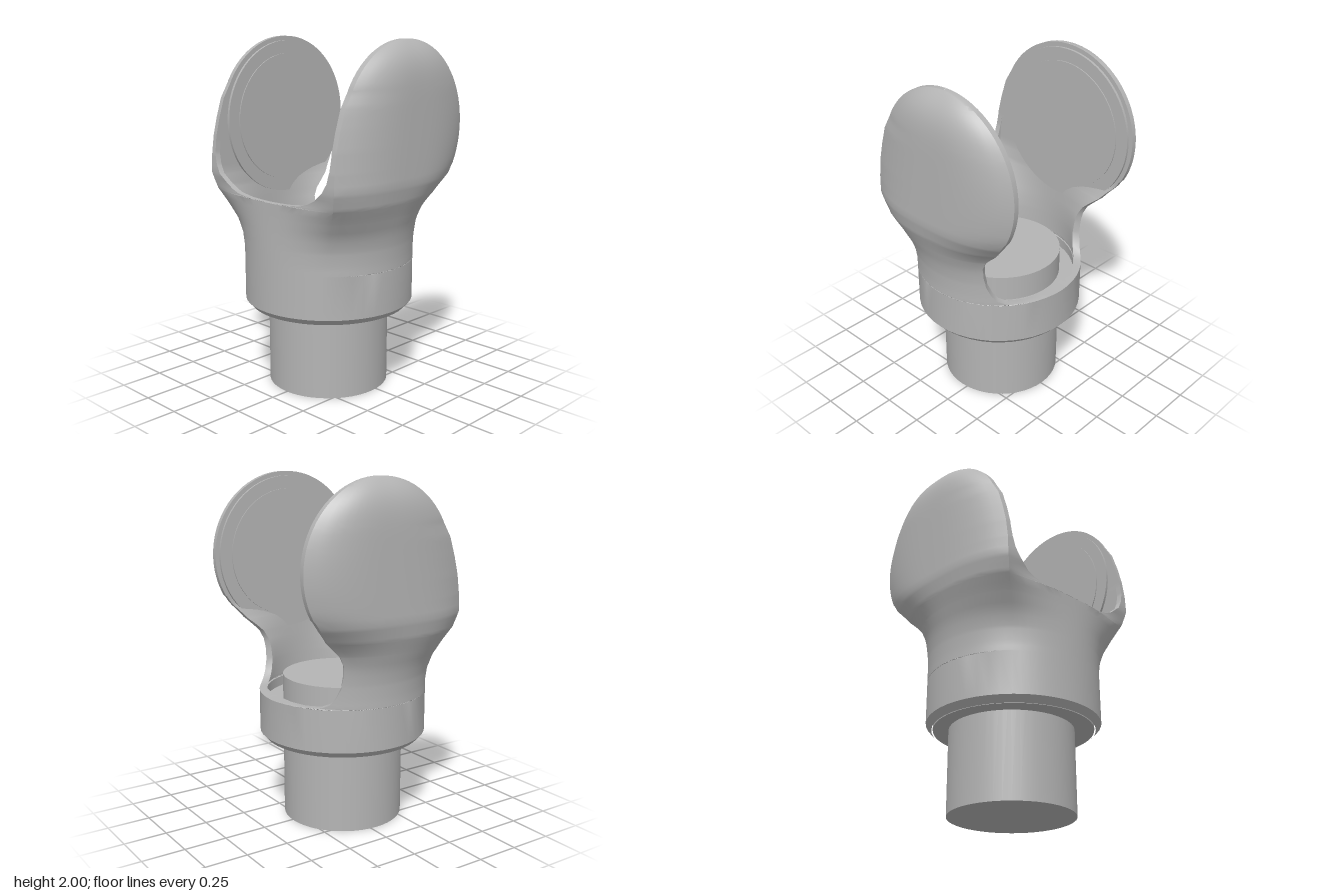
import * as THREE from 'three';
import { mergeGeometries, toCreasedNormals } from 'three/addons/utils/BufferGeometryUtils.js';

const ZC = 0.045, DISC_Y = 1.52, DISC_Z = -0.05, DISC_R = 0.48;
const mix = THREE.MathUtils.lerp;

// Height-keyed profiles: [y, value]
const BACK = [[0.48, -0.44], [0.757, -0.44], [0.758, -0.436], [0.759, -0.425], [0.76, -0.4], [0.762, -0.36],
  [0.766, -0.32], [0.785, -0.285], [0.82, -0.26], [0.88, -0.238], [0.95, -0.233], [1.01, -0.24], [1.06, -0.265],
  [1.1, -0.305], [1.15, -0.36], [1.22, -0.42], [1.28, -0.461]];
const FRONT = [[0.48, 0.495], [1.2, 0.505], [1.34, 0.5], [1.45, 0.485], [1.55, 0.46], [1.66, 0.425], [1.75, 0.37]];
const OPENING = [[1.138, 0], [1.139, 0.07], [1.141, 0.15], [1.15, 0.25], [1.165, 0.3], [1.19, 0.35], [1.24, 0.41],
  [1.29, 0.44], [1.35, 0.456], [1.42, 0.46]];
const BLEND = [[0.82, 0], [0.9, 0.06], [0.98, 0.22], [1.07, 0.52], [1.15, 0.82], [1.24, 1]];
const RADIUS = [[0.48, 0.455], [0.515, 0.487]];

function at(table, y) {
  if (y <= table[0][0]) return table[0][1];
  for (let i = 1; i < table.length; i++) {
    const [y0, v0] = table[i - 1], [y1, v1] = table[i];
    if (y <= y1) return mix(v0, v1, (y - y0) / (y1 - y0));
  }
  return table[table.length - 1][1];
}

// One closed horizontal section of the left half: outer skin back to front, then inner skin back again
function section(y) {
  const d = Math.min(1, Math.abs(y - DISC_Y) / DISC_R);
  const chord = DISC_R * Math.sqrt(1 - d * d);
  const zb = y > 1.28 ? DISC_Z - chord : at(BACK, y);
  const zf = y > 1.75 ? DISC_Z + chord : at(FRONT, y);
  const xe = at(OPENING, y), w = at(BLEND, y), r = at(RADIUS, y);
  const wide = y > DISC_Y ? 0.1 * (1 - d ** 6) : 0.1;
  const wall = Math.min(0.03, (zf - zb) * 0.2);
  const cosBack = (Math.max(zb, y > 1 ? -0.36 : -1) - ZC) / 0.485;
  const aBack = Math.acos(Math.max(-1, cosBack));

  const skin = (inner) => {
    const rad = inner ? 0.445 : r, pts = [];
    const add = (a, x, z) => {
      let cz = ZC + rad * Math.cos(a);
      if (inner) cz = Math.max(cz, -0.37);
      pts.push([mix(rad * Math.sin(a), x, w), y, mix(cz, z, w)]);
    };
    const corner = inner ? 0.46 : 0.49, zEnd = inner ? zf - wall : zf;
    const N = 18, M = 9;
    for (let i = 0; i <= N; i++) {
      const s = i / N;
      const bulge = inner ? 0 : wide * (1 - Math.abs(2 * s - 1) ** 3);
      add(mix(aBack, Math.PI / 4, s), corner + bulge, mix(zb, zEnd, s));
    }
    const aEnd = Math.min(Math.asin(Math.min(1, xe / rad)), Math.PI / 4);
    for (let i = 1; i <= M; i++) {
      const x = mix(corner, xe, i / M);
      add(mix(Math.PI / 4, aEnd, i / M), x, zEnd + 0.025 * (1 - (x / corner) ** 2));
    }
    return pts;
  };
  return [...skin(false), ...skin(true).reverse()];
}

function halfShell(side) {
  const ys = [BACK, FRONT, OPENING, BLEND, RADIUS].flatMap((t) => t.map((p) => p[0]));
  for (let i = 0; i <= 26; i++) ys.push(DISC_Y + DISC_R * Math.sin(mix(-0.4, Math.PI / 2, i / 26)));
  const levels = [...new Set(ys)].sort((a, b) => a - b);
  const loops = levels.map(section), n = loops[0].length, index = [];
  for (let i = 0; i < loops.length - 1; i++) {
    for (let j = 0; j < n; j++) {
      const a = i * n + j, b = i * n + (j + 1) % n, c = a + n, e = b + n;
      index.push(...(side > 0 ? [a, c, b, b, c, e] : [a, b, c, b, e, c]));
    }
  }
  const g = new THREE.BufferGeometry();
  const pos = loops.flat().flatMap(([x, y, z]) => [x * side, y, z]);
  g.setAttribute('position', new THREE.Float32BufferAttribute(pos, 3));
  g.setIndex(index);
  return g;
}

export function createModel() {
  const model = new THREE.Group();
  model.name = 'forkedHolder';
  const grey = new THREE.MeshStandardMaterial({ color: 0xb4b4b4 });
  grey.name = 'plain grey';
  const add = (name, geometry, x, y, z) => {
    const mesh = new THREE.Mesh(geometry, grey);
    mesh.name = name;
    mesh.position.set(x, y, z);
    model.add(mesh);
    return mesh;
  };

  // Collar, front wall and both arms in one blended shell
  add('forkShell', toCreasedNormals(mergeGeometries([halfShell(1), halfShell(-1)]), 0.6), 0, 0, 0);

  // Stem running up through the collar floor
  add('stem', new THREE.CylinderGeometry(0.35, 0.35, 0.85, 48), -0.01, 0.425, 0.04);
  add('collarFloor', new THREE.CylinderGeometry(0.447, 0.447, 0.219, 64), 0, 0.5905, ZC);

  // Round pads on the inner faces of the arms
  for (const side of [1, -1]) {
    const label = side > 0 ? 'left' : 'right';
    add(label + 'Pad', new THREE.CylinderGeometry(0.455, 0.455, 0.03, 64), side * 0.46, DISC_Y, DISC_Z).rotation.z = Math.PI / 2;
    add(label + 'PadFace', new THREE.CylinderGeometry(0.38, 0.38, 0.008, 64), side * 0.443, DISC_Y, DISC_Z).rotation.z = Math.PI / 2;
  }
  return model;
}
